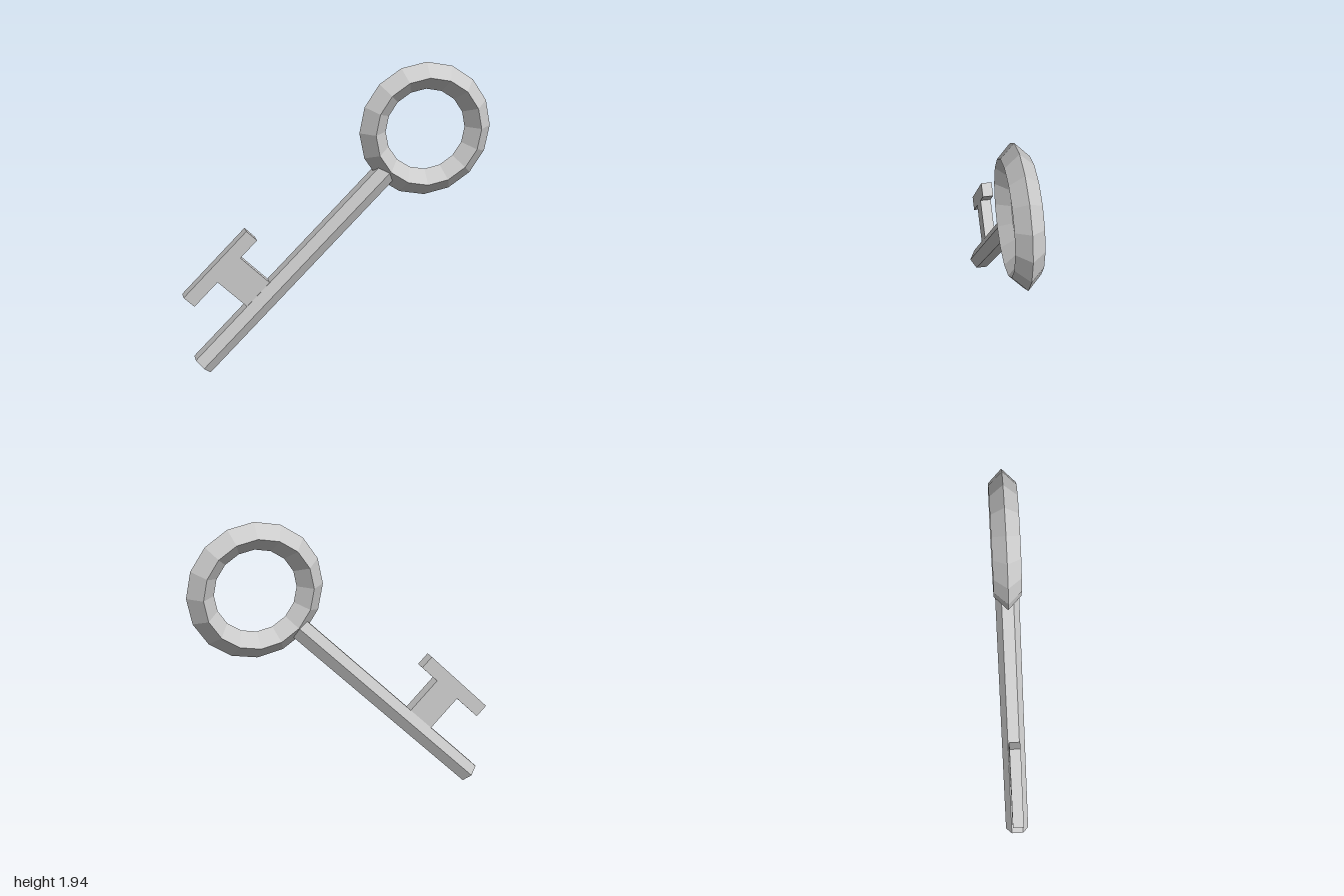
import * as THREE from 'three';

export function createModel() {
  const model = new THREE.Group();
  const material = new THREE.MeshStandardMaterial({ color: 0xcccccc, flatShading: true });

  const add = (name, geometry, parent) => {
    const mesh = new THREE.Mesh(geometry, material);
    mesh.name = name;
    parent.add(mesh);
    return mesh;
  };

  // The key is built upright with its tip at the origin, then leaned over by 45 degrees
  const key = new THREE.Group();
  key.name = 'key';
  key.position.set(-0.892, 0.046, 0);
  key.rotation.z = -Math.PI / 4;
  model.add(key);

  // Ring handle with a diamond cross-section
  const ringHeight = 2.067, ringRadius = 0.345;
  add('ringHandle', new THREE.TorusGeometry(ringRadius, 0.085, 4, 16), key).position.y = ringHeight;

  // Hexagonal shaft, ending inside the ring
  const shaftLength = ringHeight - ringRadius;
  add('shaft', new THREE.CylinderGeometry(0.075, 0.075, shaftLength, 6), key).position.y = shaftLength / 2;

  // T-shaped bit: a stem from the shaft carrying an off-centre crossbar
  const thickness = 0.07;
  const bitOutline = new THREE.Shape([
    [0, 0.478], [-0.323, 0.478], [-0.323, 0.265], [-0.416, 0.265],
    [-0.416, 0.84], [-0.323, 0.84], [-0.323, 0.688], [0, 0.688],
  ].map(([x, y]) => new THREE.Vector2(x, y)));
  const bit = new THREE.ExtrudeGeometry(bitOutline, { depth: thickness, bevelEnabled: false });
  add('bit', bit, key).position.z = -thickness / 2;

  return model;
}
